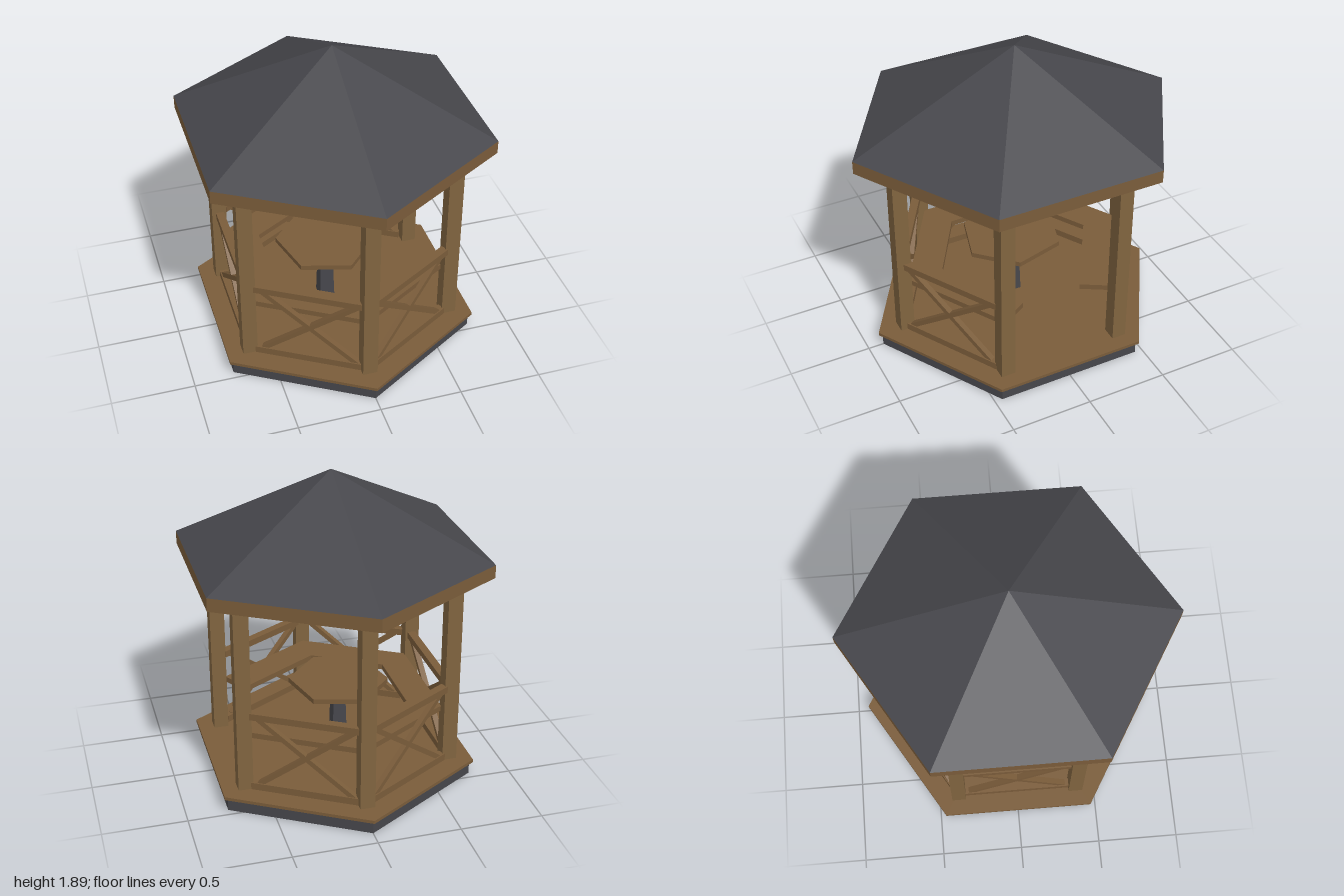
import * as THREE from 'three';

const SQUASH = 0.962; // the hexagonal plan is slightly narrower in x

const paint = (color) => new THREE.MeshStandardMaterial({ color, flatShading: true, side: THREE.DoubleSide });
const slate = paint(0x46464b);
const wood = paint(0x7a5c3a);
const postWood = paint(0x80643f);

export function createModel() {
  const model = new THREE.Group();
  model.name = 'gazebo';

  const add = (name, geometry, material, x = 0, y = 0, z = 0) => {
    const mesh = new THREE.Mesh(geometry, material);
    mesh.name = name;
    mesh.position.set(x, y, z);
    model.add(mesh);
    return mesh;
  };

  // Six-sided prism or cone between two heights, with corners on the z axis
  const hex = (name, rTop, rBottom, y0, y1, material, open) => {
    const g = new THREE.CylinderGeometry(rTop, rBottom, y1 - y0, 6, 1, open);
    return add(name, g.scale(SQUASH, 1, 1), material, 0, (y0 + y1) / 2, 0);
  };

  // Square-cut bar between two points
  const beam = (name, a, b, width, height) => {
    const g = new THREE.BoxGeometry(width, height, a.distanceTo(b));
    const mesh = new THREE.Mesh(g, wood);
    mesh.name = name;
    mesh.position.copy(a).lerp(b, 0.5);
    mesh.lookAt(b);
    model.add(mesh);
  };

  // Hollow plinth, deck, fascia ring and open-bottomed roof
  hex('plinth', 0.904, 0.904, 0, 0.08, slate, true);
  hex('deck', 0.928, 0.928, 0.08, 0.1, wood, false);
  hex('fascia', 1, 1, 1.325, 1.405, wood, true);
  const roof = new THREE.ConeGeometry(1, 0.485, 6, 1, true).scale(SQUASH, 1, 1);
  add('roof', roof, slate, 0, 1.6475, 0);

  // Posts at the six corners
  const corners = [[0, 0.752], [0.635, 0.375], [0.635, -0.375], [0, -0.752], [-0.635, -0.375], [-0.635, 0.375]];
  for (const [x, z] of corners) {
    add('post', new THREE.BoxGeometry(0.09, 1.305, 0.088), postWood, x, 0.7525, z);
  }

  // Cross-braced railings on five sides; the +x side is the entrance
  const railing = (ax, az, bx, bz) => {
    const at = (t, y) => new THREE.Vector3(ax + (bx - ax) * t, y, az + (bz - az) * t);
    beam('topRail', at(0, 0.59), at(1, 0.59), 0.05, 0.042);
    beam('bottomRail', at(0, 0.122), at(1, 0.122), 0.05, 0.044);
    beam('brace', at(0.07, 0.135), at(0.93, 0.575), 0.035, 0.03);
    beam('brace', at(0.07, 0.575), at(0.93, 0.135), 0.035, 0.03);
  };
  for (const sx of [1, -1]) {
    for (const sz of [1, -1]) railing(sx * 0.016, sz * 0.743, sx * 0.592, sz * 0.4);
  }
  railing(-0.63, -0.35, -0.63, 0.35);

  // Flat slab from a plan outline of [x, z] points
  const slab = (name, outline, y, thickness, x = 0) => {
    const shape = new THREE.Shape(outline.map(([px, pz]) => new THREE.Vector2(px, -pz)));
    const g = new THREE.ExtrudeGeometry(shape, { depth: thickness, bevelEnabled: false });
    add(name, g.rotateX(-Math.PI / 2), wood, x, y, 0);
  };

  // Bench strip following the five railed sides
  slab('bench', [
    [0.592, 0.355], [0, 0.711], [-0.592, 0.355], [-0.592, -0.355], [0, -0.711], [0.592, -0.355],
    [0.497, -0.19], [0, -0.49], [-0.408, -0.245], [-0.408, 0.245], [0, 0.49], [0.497, 0.19],
  ], 0.412, 0.035);

  // Table with a tapered square leg
  const tableX = -0.045;
  const top = [];
  for (let i = 0; i < 6; i++) {
    const a = Math.PI / 12 + (i * Math.PI) / 3;
    top.push([Math.cos(a) * 0.316 * SQUASH, Math.sin(a) * 0.316]);
  }
  slab('tableTop', top, 0.5, 0.032, tableX);
  const leg = new THREE.CylinderGeometry(0.05, 0.067, 0.42, 4).rotateY(Math.PI / 4);
  add('tableLeg', leg, slate, tableX, 0.29, 0.004);

  return model;
}
